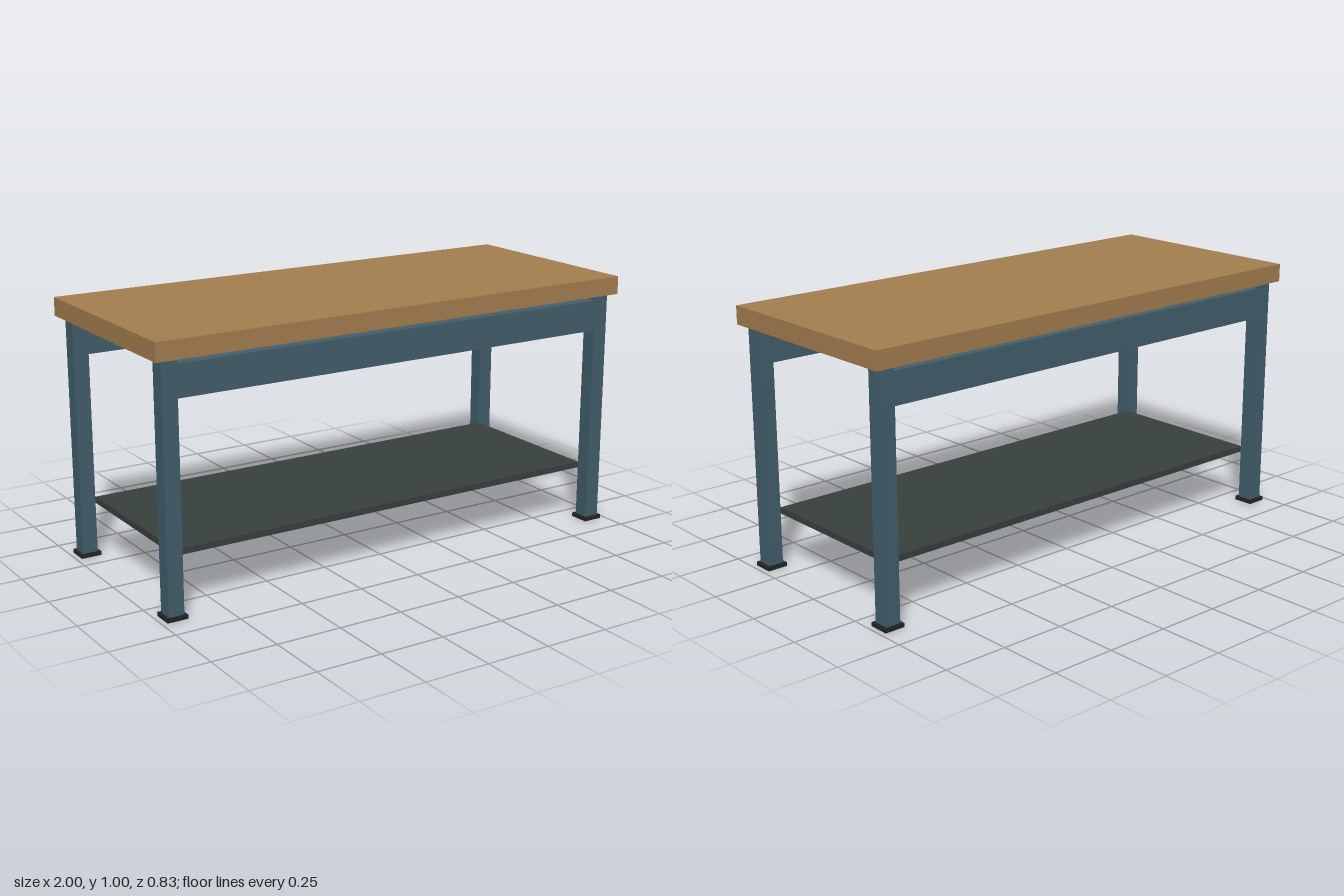
import * as THREE from 'three';

const mat = (color) => new THREE.MeshStandardMaterial({ color });

export function createModel() {
  const group = new THREE.Group();
  const wood = mat(0xa67f50);
  const steel = mat(0x43606c);
  const shelfPaint = mat(0x38413f);
  const rubber = mat(0x222526);

  // Box given its size and the height of its underside
  function box(name, material, w, h, d, x, bottom, z) {
    const mesh = new THREE.Mesh(new THREE.BoxGeometry(w, h, d), material);
    mesh.name = name;
    mesh.position.set(x, bottom + h / 2, z);
    group.add(mesh);
  }

  const legX = 0.94, legZ = 0.36, legW = 0.06, footW = 0.08, footH = 0.015;

  // Worktop and lower shelf
  box('worktop', wood, 2, 0.07, 0.832, 0, 0.93, 0);
  box('shelf', shelfPaint, 2 * legX - legW, 0.024, 2 * legZ - legW, 0, 0.21, 0);

  // Square collar foot that wraps the bottom of a leg
  const square = (s) => [[-s, -s], [s, -s], [s, s], [-s, s]].map(([x, y]) => new THREE.Vector2(x, y));
  const collar = new THREE.Shape(square(footW / 2));
  collar.holes.push(new THREE.Path(square(legW / 2).reverse()));
  const footGeometry = new THREE.ExtrudeGeometry(collar, { depth: footH, bevelEnabled: false });
  footGeometry.rotateX(-Math.PI / 2);

  for (const [zName, sz] of [['front', 1], ['back', -1]]) {
    // Long rail between the two legs
    box(zName + 'Rail', steel, 2 * legX - legW, 0.12, legW, 0, 0.79, sz * legZ);

    for (const [xName, sx] of [['Left', 1], ['Right', -1]]) {
      box(zName + xName + 'Leg', steel, legW, 0.93, legW, sx * legX, 0, sz * legZ);
      const foot = new THREE.Mesh(footGeometry, rubber);
      foot.name = zName + xName + 'Foot';
      foot.position.set(sx * legX, 0, sz * legZ);
      group.add(foot);
    }
  }
  return group;
}
